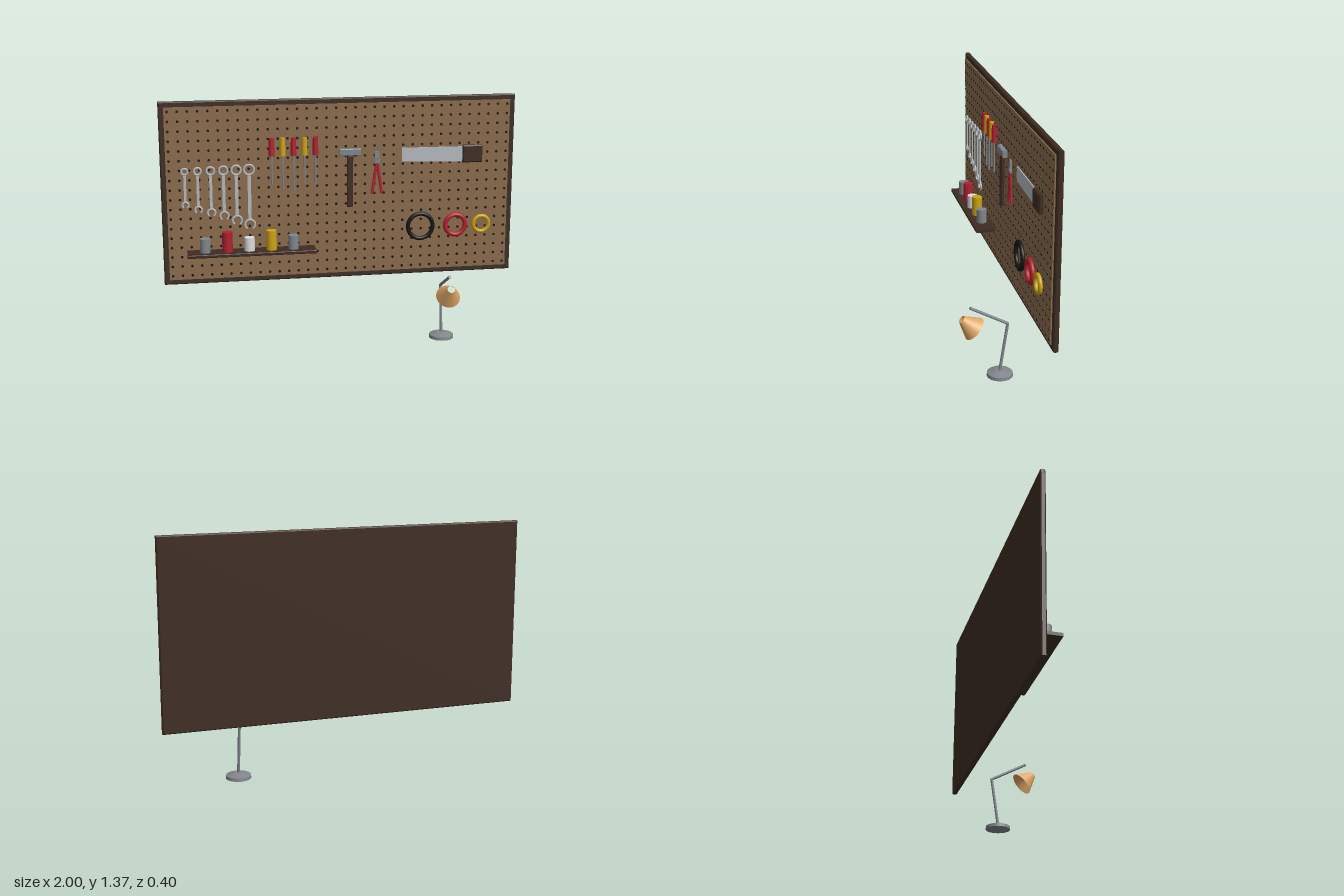
import * as THREE from 'three';
import { mergeGeometries } from 'three/addons/utils/BufferGeometryUtils.js';

const mat = (name, color) => {
  const m = new THREE.MeshStandardMaterial({ color });
  m.name = name;
  return m;
};

export function createModel() {
  const model = new THREE.Group();
  model.name = 'toolWall';
  const wood = mat('dark wood', 0x3e2c22);
  const board = mat('pegboard brown', 0x8b6b4a);
  const black = mat('black', 0x141414);
  const steel = mat('steel grey', 0x80868c);
  const silver = mat('silver', 0xb4babf);
  const white = mat('off white', 0xdcdcdc);
  const red = mat('red', 0xb0202f);
  const yellow = mat('yellow', 0xc9a312);
  const shadeTan = mat('lampshade tan', 0xe0a866);
  shadeTan.side = THREE.DoubleSide;

  const group = (name, parent = model) => {
    const g = new THREE.Group();
    g.name = name;
    parent.add(g);
    return g;
  };
  const add = (parent, name, geo, material, x = 0, y = 0, z = 0) => {
    const m = new THREE.Mesh(geo, material);
    m.name = name;
    m.position.set(x, y, z);
    parent.add(m);
    return m;
  };
  const box = (w, h, d) => new THREE.BoxGeometry(w, h, d);
  const cyl = (rt, rb, h, n = 20) => new THREE.CylinderGeometry(rt, rb, h, n);
  // Box with chamfered edges, centred on its origin
  const bevelBox = (w, h, d, b) => {
    const x = w / 2 - b, y = h / 2 - b;
    const s = new THREE.Shape([[-x, -y], [x, -y], [x, y], [-x, y]].map(p => new THREE.Vector2(...p)));
    return new THREE.ExtrudeGeometry(s, { depth: d - 2 * b, bevelEnabled: true, bevelSize: b, bevelThickness: b, bevelSegments: 1 })
      .translate(0, 0, b - d / 2);
  };
  // Round rod between two points
  const rod = (parent, name, a, b, r, material) => {
    const dir = b.clone().sub(a);
    const m = add(parent, name, cyl(r, r, dir.length(), 12), material);
    m.position.copy(a).lerp(b, 0.5);
    m.quaternion.setFromUnitVectors(new THREE.Vector3(0, 1, 0), dir.normalize());
  };

  // Backboard and perforated panel
  add(model, 'backFrame', bevelBox(2, 1.03, 0.03, 0.006), wood, 0, 0.858, -0.187);
  add(model, 'pegPanel', box(1.94, 0.972, 0.012), board, 0, 0.858, -0.171);
  const holes = [];
  const step = 0.0544;
  for (let i = 0; i < 36; i++) for (let j = 0; j < 18; j++) {
    holes.push(cyl(0.0075, 0.0075, 0.004, 8).rotateX(Math.PI / 2)
      .translate((i - 17.5) * step, 0.858 + (j - 8.5) * step, -0.164));
  }
  add(model, 'pegHoles', mergeGeometries(holes), black);

  // Wrenches: closed ring above, open jaw below
  const wrenches = group('wrenches');
  [0.802, 0.772, 0.754, 0.733, 0.705, 0.678].forEach((yb, i) => {
    const x = -0.869 + i * 0.0706, R = 0.017 + i * 0.0022, yt = 0.99;
    const w = group('wrench', wrenches);
    add(w, 'ringEnd', new THREE.TorusGeometry(R, 0.006, 8, 20), silver, x, yt, -0.155);
    add(w, 'openJaw', new THREE.TorusGeometry(R, 0.006, 8, 20, Math.PI * 1.6), silver, x, yb, -0.155)
      .rotation.z = -Math.PI * 0.3;
    add(w, 'shank', box(0.014 + i * 0.001, yt - yb - 2 * R, 0.008), silver, x, (yt + yb) / 2, -0.155);
  });

  // Screwdrivers
  const drivers = group('screwdrivers');
  [0.905, 0.87, 0.86, 0.9, 0.89].forEach((yb, i) => {
    const x = -0.39 + i * 0.061;
    const d = group('screwdriver', drivers);
    add(d, 'driverHandle', cyl(0.014, 0.017, 0.1, 16), i % 2 ? yellow : red, x, 1.113, -0.151);
    add(d, 'driverShaft', cyl(0.005, 0.005, 1.063 - yb, 10), steel, x, (1.063 + yb) / 2, -0.151);
  });

  // Hammer
  const hammer = group('hammer');
  add(hammer, 'hammerHandle', bevelBox(0.035, 0.295, 0.02, 0.005), wood, 0.048, 0.908, -0.148);
  add(hammer, 'hammerHead', bevelBox(0.123, 0.038, 0.03, 0.004), steel, 0.048, 1.073, -0.149);

  // Pliers: crossed halves around a pivot
  const pliers = group('pliers');
  for (const s of [-1, 1]) {
    add(pliers, 'pliersJaw', box(0.014, 0.07, 0.01), steel, 0.203 + s * 0.007, 1.037, -0.154).rotation.z = s * 0.06;
    add(pliers, 'pliersHandle', bevelBox(0.016, 0.19, 0.012, 0.004), red, 0.203 + s * 0.014, 0.925, -0.154)
      .rotation.z = s * 0.15;
  }
  add(pliers, 'pivot', cyl(0.011, 0.011, 0.014, 12).rotateX(Math.PI / 2), steel, 0.203, 1.015, -0.153);

  // Hand saw
  const saw = group('handSaw');
  const blade = new THREE.Shape([[0.345, 1.008], [0.7, 0.999], [0.7, 1.085], [0.345, 1.087]].map(p => new THREE.Vector2(...p)));
  add(saw, 'sawBlade', new THREE.ExtrudeGeometry(blade, { depth: 0.006, bevelEnabled: false }), silver, 0, 0, -0.156);
  add(saw, 'sawHandle', bevelBox(0.115, 0.1, 0.027, 0.007), wood, 0.752, 1.043, -0.151);

  // Hanging tape and cable rings
  const rings = group('hangingRings');
  for (const [x, R, r, m] of [[0.455, 0.072, 0.012, black], [0.66, 0.058, 0.0135, red], [0.813, 0.045, 0.0115, yellow]]) {
    add(rings, 'ring', new THREE.TorusGeometry(R, r, 12, 36), m, x, 0.632, -0.143);
  }

  // Shelf with cans
  const shelf = group('shelf');
  add(shelf, 'shelfPlank', bevelBox(0.714, 0.018, 0.116, 0.003), wood, -0.512, 0.532, -0.109);
  [[steel, 0.62], [red, 0.652], [white, 0.617], [yellow, 0.652], [steel, 0.62]].forEach(([m, top], i) => {
    const h = top - 0.54;
    add(shelf, 'can', cyl(0.029, 0.029, h, 24), m, -0.77 + i * 0.1227, 0.54 + h / 2, -0.111);
  });

  // Desk lamp
  const lamp = group('deskLamp');
  lamp.position.x = 0.559;
  const V = (y, z) => new THREE.Vector3(0, y, z);
  add(lamp, 'lampBase', cyl(0.068, 0.07, 0.018, 28), steel, 0, 0.009, -0.018);
  add(lamp, 'lampBaseTop', cyl(0.028, 0.068, 0.015, 28), steel, 0, 0.0255, -0.018);
  rod(lamp, 'lowerArm', V(0.025, -0.017), V(0.3, -0.058), 0.008, steel);
  rod(lamp, 'upperArm', V(0.299, -0.06), V(0.409, 0.144), 0.008, steel);
  add(lamp, 'elbow', new THREE.SphereGeometry(0.008, 12, 8), steel, 0, 0.299, -0.058);
  // Shade opens down and back toward the board
  const small = V(0.349, 0.187), large = V(0.287, 0.12);
  const axis = small.clone().sub(large);
  const shade = add(lamp, 'lampshade', new THREE.CylinderGeometry(0.021, 0.068, axis.length(), 28, 1, true), shadeTan);
  shade.position.copy(small).lerp(large, 0.5);
  shade.quaternion.setFromUnitVectors(new THREE.Vector3(0, 1, 0), axis.normalize());

  return model;
}
